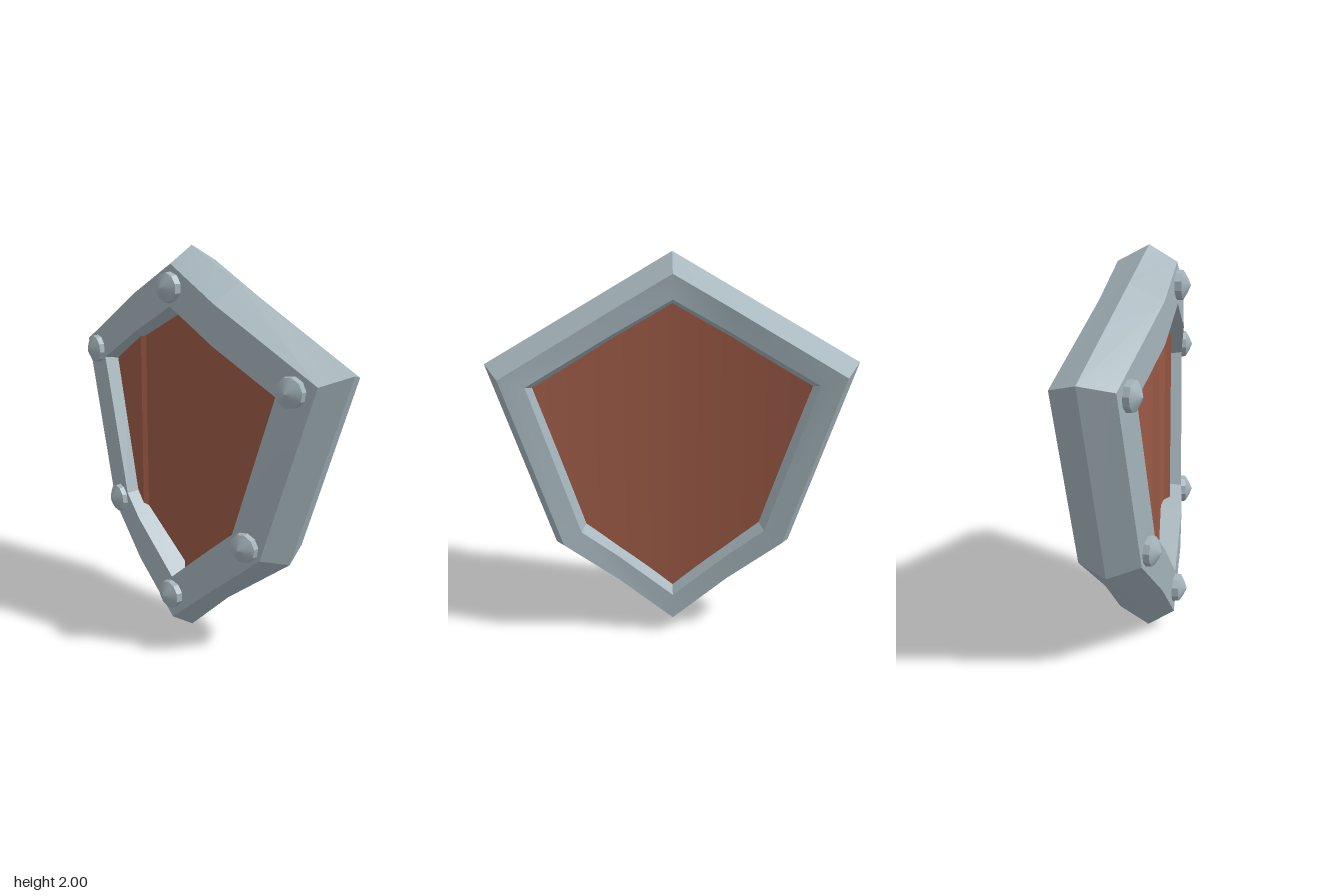
import * as THREE from 'three';
import { toCreasedNormals } from 'three/addons/utils/BufferGeometryUtils.js';

const metal = new THREE.MeshStandardMaterial({ color: 0xa3b3ba });
const wood = new THREE.MeshStandardMaterial({ color: 0x9a5945 });

// The shield sweeps back towards its sides, with a kink at x = 0.28
const KINK = 0.28;
function bend(x) {
  const a = Math.abs(x);
  return a < KINK ? -0.045 * a : -0.0126 - 0.188 * (a - KINK);
}

function lerpY(a, b, x) {
  return a[1] + (b[1] - a[1]) * (x - a[0]) / (b[0] - a[0]);
}

function meshFrom(positions, indices, material, crease, name) {
  const geo = new THREE.BufferGeometry();
  geo.setAttribute('position', new THREE.Float32BufferAttribute(positions, 3));
  geo.setIndex(indices);
  const mesh = new THREE.Mesh(toCreasedNormals(geo, crease), material);
  mesh.name = name;
  return mesh;
}

// Full loop from the half outline [top, shoulder, lower corner, tip], clockwise from the front.
// Points are [x, y] with an optional extra z; the two kink points can be given too.
function ring([top, shoulder, lower, tip], z, upperKink, lowerKink) {
  const half = [
    top, upperKink ?? [KINK, lerpY(top, shoulder, KINK)], shoulder,
    lower, lowerKink ?? [KINK, lerpY(tip, lower, KINK)], tip,
  ];
  const mirrored = half.slice(1, -1).reverse().map(([x, y, dz]) => [-x, y, dz]);
  return [...half, ...mirrored].map(([x, y, dz = 0]) => [x, y, z + bend(x) + dz]);
}

// Rim: cross-section rings running from the outer ridge over the front and round the back
function makeRim() {
  const ridge = [[0, 2], [0.904, 1.487], [0.604, 0.515, -0.012], [0, 0]];
  const outer = [[0, 1.92], [0.825, 1.447], [0.552, 0.565], [0, 0.09]];
  const outerBack = [[0, 1.92], [0.825, 1.447], [0.552, 0.565, -0.012], [0, 0.09]];
  const inner = [[0, 1.72], [0.62, 1.375], [0.4, 0.665], [0, 0.32]];
  const core = [[0, 1.7], [0.6, 1.36], [0.387, 0.675], [0, 0.342]];
  const innerBack = [[0, 1.8], [0.7, 1.403], [0.463, 0.622], [0, 0.227]];
  const coreBack = [[0, 1.766], [0.669, 1.381], [0.441, 0.64], [0, 0.263]];
  const rings = [
    ring(ridge, 0.03, [KINK, 1.841, -0.028], [0.26, 0.245]),
    ring(outer, 0.167), ring(inner, 0.172), ring(core, 0.05),
    ring(coreBack, -0.055), ring(innerBack, -0.125),
    ring(outerBack, -0.125, [KINK, 1.76, -0.015]),
  ];
  const n = rings[0].length;
  const indices = [];
  rings.forEach((_, s) => {
    const t = (s + 1) % rings.length;
    for (let l = 0; l < n; l++) {
      const m = (l + 1) % n;
      const a = s * n + l, b = t * n + l, c = t * n + m, d = s * n + m;
      indices.push(a, b, c, a, c, d);
    }
  });
  return meshFrom(rings.flat(2), indices, metal, 0.35, 'rim');
}

// Panel face: vertical strips cut to the half outline, tucked under the rim
function makePanelFace([top, shoulder, lower, tip], columns, front, name) {
  const positions = [], indices = [];
  columns.forEach(([x, z], i) => {
    const a = Math.abs(x);
    const low = a <= lower[0] ? lerpY(tip, lower, a) : lerpY(lower, shoulder, a);
    positions.push(x, low, z, x, lerpY(top, shoulder, a), z);
    if (i === 0) return;
    const p = 2 * i - 2, q = 2 * i;
    if (front) indices.push(p, q, q + 1, p, q + 1, p + 1);
    else indices.push(p, q + 1, q, p, p + 1, q + 1);
  });
  return meshFrom(positions, indices, wood, 0.2, name);
}

function makePanel() {
  const panel = new THREE.Group();
  panel.name = 'woodenPanel';
  // Four front planks at slightly different heights, as [x, z] along the section
  const frontOutline = [[0, 1.725], [0.62, 1.373], [0.4, 0.665], [0, 0.32]];
  const frontColumns = [
    [-0.62, 0.016], [-0.4, 0.067], [-0.33, 0.083],
    [-0.31, 0.064], [-0.03, 0.056],
    [0, 0.08], [0.28, 0.044],
    [0.31, 0.056], [0.33, 0.085], [0.4, 0.068], [0.62, 0.016],
  ];
  panel.add(makePanelFace(frontOutline, frontColumns, true, 'planks'));
  // Smoothly curved back
  const backOutline = [[0, 1.79], [0.7, 1.4], [0.46, 0.625], [0, 0.235]];
  const backColumns = [];
  for (let i = -35; i <= 35; i++) {
    const x = i / 50;
    backColumns.push([x, -0.066 - 0.19 * x * x]);
  }
  panel.add(makePanelFace(backOutline, backColumns, false, 'panelBack'));
  return panel;
}

// Rivet: faceted collar with a low pointed cap, facing along the rim surface
function makeRivet(x, y) {
  const rivet = new THREE.Group();
  rivet.name = 'rivet';
  const collarGeometry = new THREE.CylinderGeometry(0.071, 0.077, 0.06, 10, 1, true);
  const collar = new THREE.Mesh(toCreasedNormals(collarGeometry, 0.3), metal);
  collar.name = 'rivetCollar';
  const profile = [[0.071, 0.03], [0.036, 0.051], [0, 0.067]].map((p) => new THREE.Vector2(...p));
  const cap = new THREE.Mesh(new THREE.LatheGeometry(profile, 10), metal);
  cap.name = 'rivetCap';
  rivet.add(collar, cap);
  rivet.position.set(x, y, 0.168 + bend(x));
  const slope = x === 0 ? 0 : Math.sign(x) * 0.18;
  rivet.quaternion.setFromUnitVectors(
    new THREE.Vector3(0, 1, 0), new THREE.Vector3(slope, 0, 1).normalize());
  return rivet;
}

export function createModel() {
  const shield = new THREE.Group();
  shield.name = 'shield';
  shield.add(makeRim(), makePanel());
  for (const [x, y] of [[0, 1.81], [0.7, 1.41], [0.474, 0.62], [0, 0.228]]) {
    shield.add(makeRivet(x, y));
    if (x > 0) shield.add(makeRivet(-x, y));
  }
  return shield;
}
